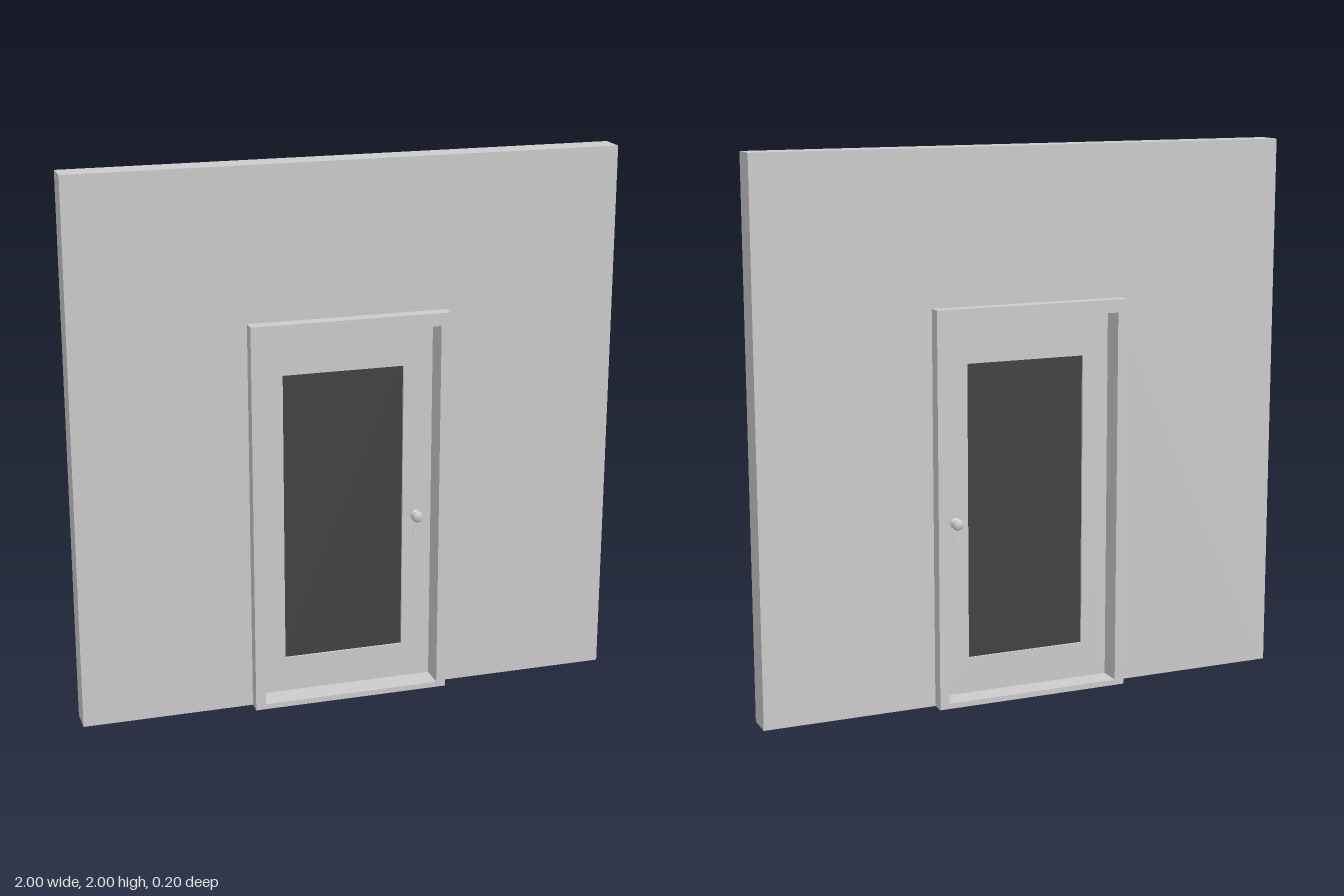
import * as THREE from 'three';

const plaster = new THREE.MeshStandardMaterial({ color: 0xcccccc });
plaster.name = 'light grey';
const darkGlass = new THREE.MeshStandardMaterial({ color: 0x424242 });
darkGlass.name = 'dark glass';

// Rectangle outline given by its edges
function rect(Type, x0, x1, y0, y1) {
  return new Type([[x0, y0], [x1, y0], [x1, y1], [x0, y1]].map(([x, y]) => new THREE.Vector2(x, y)));
}

// Rectangular slab with a rectangular opening, between depths z0 and z1
function panel(name, outer, hole, z0, z1) {
  const shape = rect(THREE.Shape, ...outer);
  shape.holes.push(rect(THREE.Path, ...hole));
  const geo = new THREE.ExtrudeGeometry(shape, { depth: z1 - z0, bevelEnabled: false });
  geo.translate(0, 0, z0);
  const mesh = new THREE.Mesh(geo, plaster);
  mesh.name = name;
  return mesh;
}

// Turned knob and lock cylinder, pointing along +z
function doorKnob(name) {
  const group = new THREE.Group();
  group.name = name;
  const profile = [[0, 0], [0.02, 0], [0.02, 0.004], [0.009, 0.007], [0.008, 0.015],
    [0.016, 0.019], [0.021, 0.027], [0.019, 0.034], [0.011, 0.039], [0, 0.04]];
  const knob = new THREE.Mesh(
    new THREE.LatheGeometry(profile.map(([r, h]) => new THREE.Vector2(r, h)), 24).rotateX(Math.PI / 2), plaster);
  knob.name = 'knob';
  const lock = new THREE.Mesh(new THREE.CylinderGeometry(0.008, 0.008, 0.006, 16).rotateX(Math.PI / 2), plaster);
  lock.name = 'lockCylinder';
  lock.position.set(0, -0.067, 0.003);
  group.add(knob, lock);
  return group;
}

export function createModel() {
  const model = new THREE.Group();
  model.name = 'wallWithDoor';

  const doorway = [-0.335, 0.325, 0.02, 1.4];
  const leaf = [-0.315, 0.31, 0.022, 1.38];
  const windowEdges = [-0.235, 0.215, 0.153, 1.238];
  const back = -0.016, front = 0.009;

  // Wall, projecting frame with threshold, door stop and door leaf
  model.add(panel('wall', [-1, 1, 0, 2], [-0.355, 0.345, 0.01, 1.42], -0.05, 0.05));
  model.add(panel('doorFrame', [-0.372, 0.36, 0, 1.447], doorway, -0.1, 0.1));
  model.add(panel('doorStop', doorway, leaf, back + 0.002, front - 0.002));
  model.add(panel('doorLeaf', leaf, windowEdges, back, front));

  // Glass set slightly back from both door faces
  const [x0, x1, y0, y1] = windowEdges;
  const glass = new THREE.Mesh(new THREE.BoxGeometry(x1 - x0, y1 - y0, 0.009), darkGlass);
  glass.name = 'windowGlass';
  glass.position.set((x0 + x1) / 2, (y0 + y1) / 2, (back + front) / 2);
  model.add(glass);

  // Knobs on both sides
  const frontKnob = doorKnob('frontKnob');
  frontKnob.position.set(0.265, 0.664, front);
  const backKnob = doorKnob('backKnob');
  backKnob.position.set(0.265, 0.664, back);
  backKnob.rotation.y = Math.PI;
  model.add(frontKnob, backKnob);

  return model;
}
